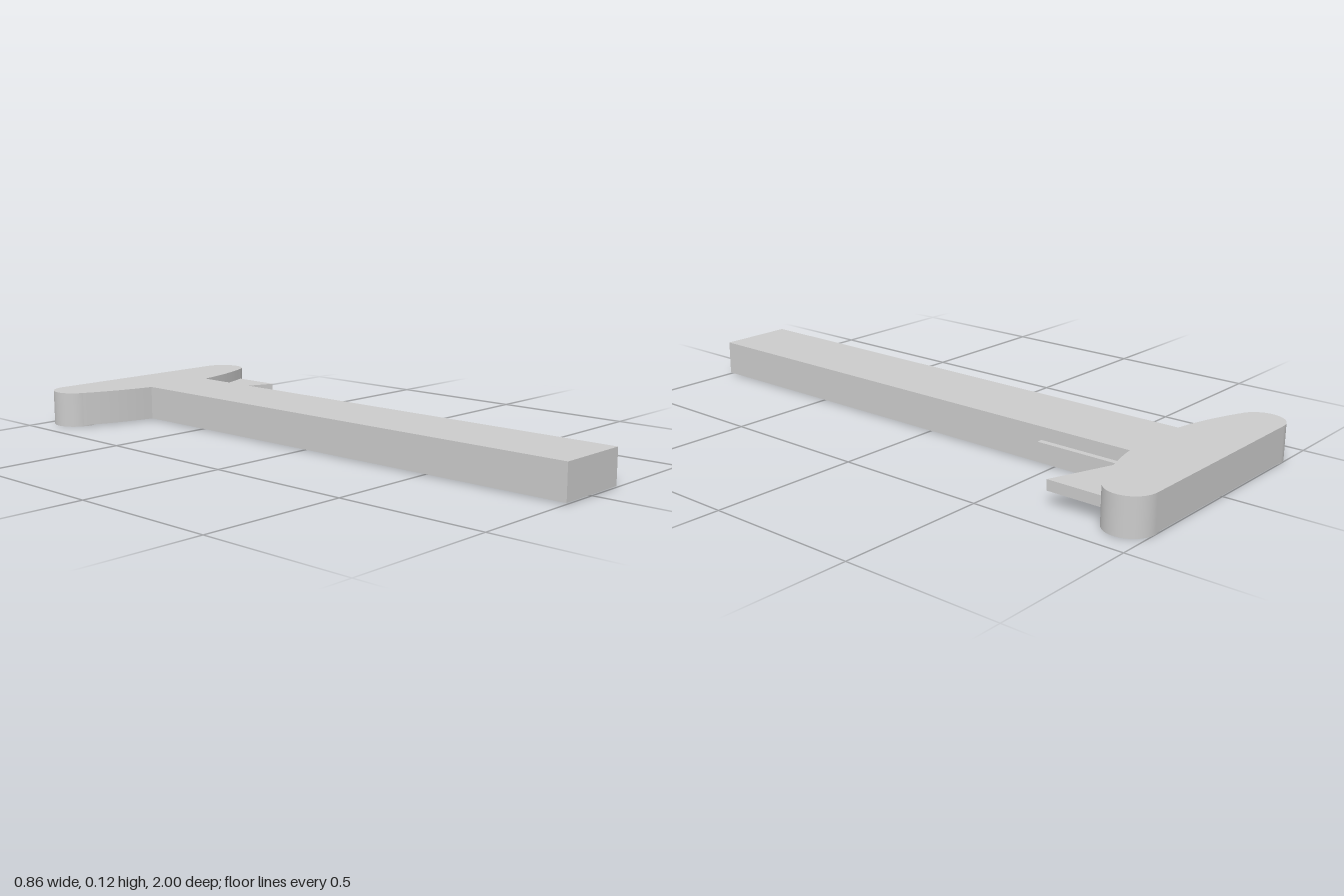
import * as THREE from 'three';

const material = new THREE.MeshStandardMaterial({ color: 0xcccccc });

// Extrudes a plan outline (drawn in x and -z) upward between two heights
function slab(name, shape, y0, y1) {
  const geometry = new THREE.ExtrudeGeometry(shape, { depth: y1 - y0, bevelEnabled: false, curveSegments: 16 });
  geometry.rotateX(-Math.PI / 2);
  geometry.translate(0, y0, 0);
  const mesh = new THREE.Mesh(geometry, material);
  mesh.name = name;
  return mesh;
}

export function createModel() {
  const group = new THREE.Group();
  group.name = 'tBody';

  // Long handle and swept crosshead in one outline
  const body = new THREE.Shape();
  body.moveTo(-0.13, -1);
  body.lineTo(0.13, -1);
  body.lineTo(0.13, 0.768);
  body.quadraticCurveTo(0.26, 0.79, 0.384, 0.848);
  body.lineTo(0.384, 0.92);
  body.lineTo(0.35, 1);
  body.lineTo(-0.35, 1);
  body.lineTo(-0.384, 0.92);
  body.lineTo(-0.384, 0.848);
  body.quadraticCurveTo(-0.26, 0.79, -0.13, 0.768);
  body.closePath();
  group.add(slab('handleAndCrosshead', body, 0.004, 0.12));

  // Rounded ends of the crosshead, reaching slightly lower than the body
  for (const side of [-1, 1]) {
    const end = new THREE.Mesh(new THREE.CylinderGeometry(0.08, 0.08, 0.12, 48), material);
    end.name = side > 0 ? 'leftRoundedEnd' : 'rightRoundedEnd';
    end.position.set(side * 0.35, 0.06, -0.92);
    group.add(end);
  }

  // Thin lever beside the handle
  const lever = new THREE.Mesh(new THREE.BoxGeometry(0.02, 0.034, 0.34), material);
  lever.name = 'lever';
  lever.position.set(0.148, 0.064, -0.63);
  group.add(lever);

  // Wedge-shaped tab emerging from under the crosshead's left wing
  const tab = new THREE.Shape();
  tab.moveTo(0.145, 0.752);
  tab.lineTo(0.384, 0.665);
  tab.lineTo(0.384, 0.87);
  tab.lineTo(0.145, 0.8);
  tab.closePath();
  group.add(slab('wedgeTab', tab, 0.047, 0.081));

  return group;
}
